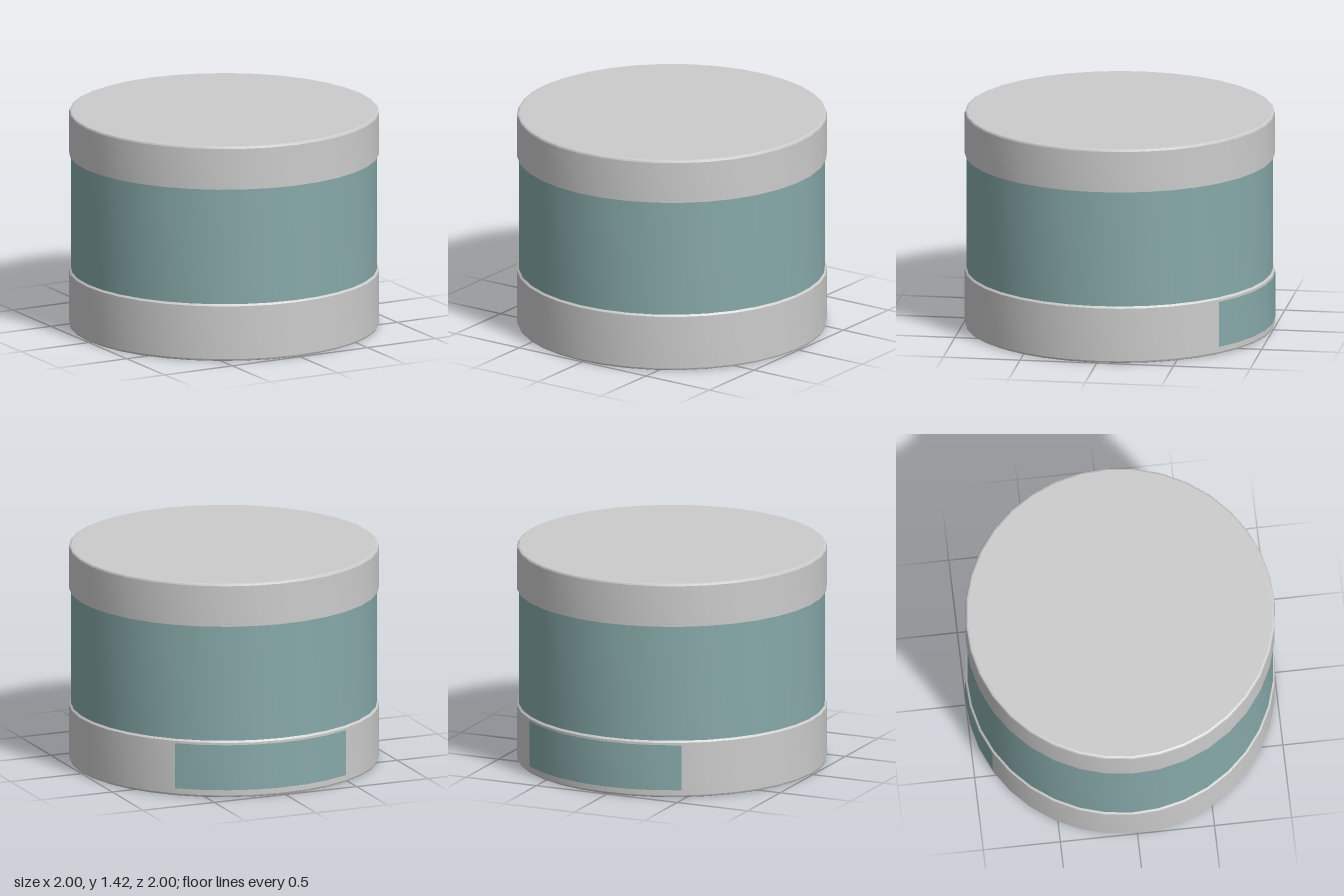
import * as THREE from 'three';
import { toCreasedNormals } from 'three/addons/utils/BufferGeometryUtils.js';

const SIDES = 36;
const STEP = (Math.PI * 2) / SIDES;
const START = THREE.MathUtils.degToRad(8.3); // slight turn of the facets

const grey = new THREE.MeshStandardMaterial({ color: 0xcccccc });
const teal = new THREE.MeshStandardMaterial({ color: 0x87a9a9 });
const tealSheet = new THREE.MeshStandardMaterial({ color: 0x87a9a9, side: THREE.DoubleSide });

// Turn a profile of [radius, height] points, listed from bottom to top
function turned(name, profile, material, first = 0, count = SIDES) {
  const points = profile.map(([r, y]) => new THREE.Vector2(r, y));
  const geometry = new THREE.LatheGeometry(points, count, START + first * STEP, count * STEP);
  const mesh = new THREE.Mesh(toCreasedNormals(geometry, 0.3), material);
  mesh.name = name;
  return mesh;
}

export function createModel() {
  const group = new THREE.Group();
  group.name = 'jar';
  const R = 1, b = 0.015;

  // Base with softened rims
  group.add(turned('base', [
    [0, 0], [R - b, 0], [R - b * 0.3, b * 0.3], [R, b],
    [R, 0.38 - b], [R - b, 0.38], [0, 0.38],
  ], grey));

  // Slightly recessed body
  group.add(turned('body', [[0.988, 0.375], [0.988, 1.145]], teal));

  // Lid with a softened top rim
  group.add(turned('lid', [
    [0, 1.14], [R, 1.14], [R, 1.425 - b],
    [R - b * 0.3, 1.425 - b * 0.3], [R - b, 1.425], [0, 1.425],
  ], grey));

  // Thin label wrapped over seven facets at the back of the base
  group.add(turned('label', [[R + 0.002, 0.05], [R + 0.002, 0.35]], tealSheet, 13, 7));

  return group;
}
